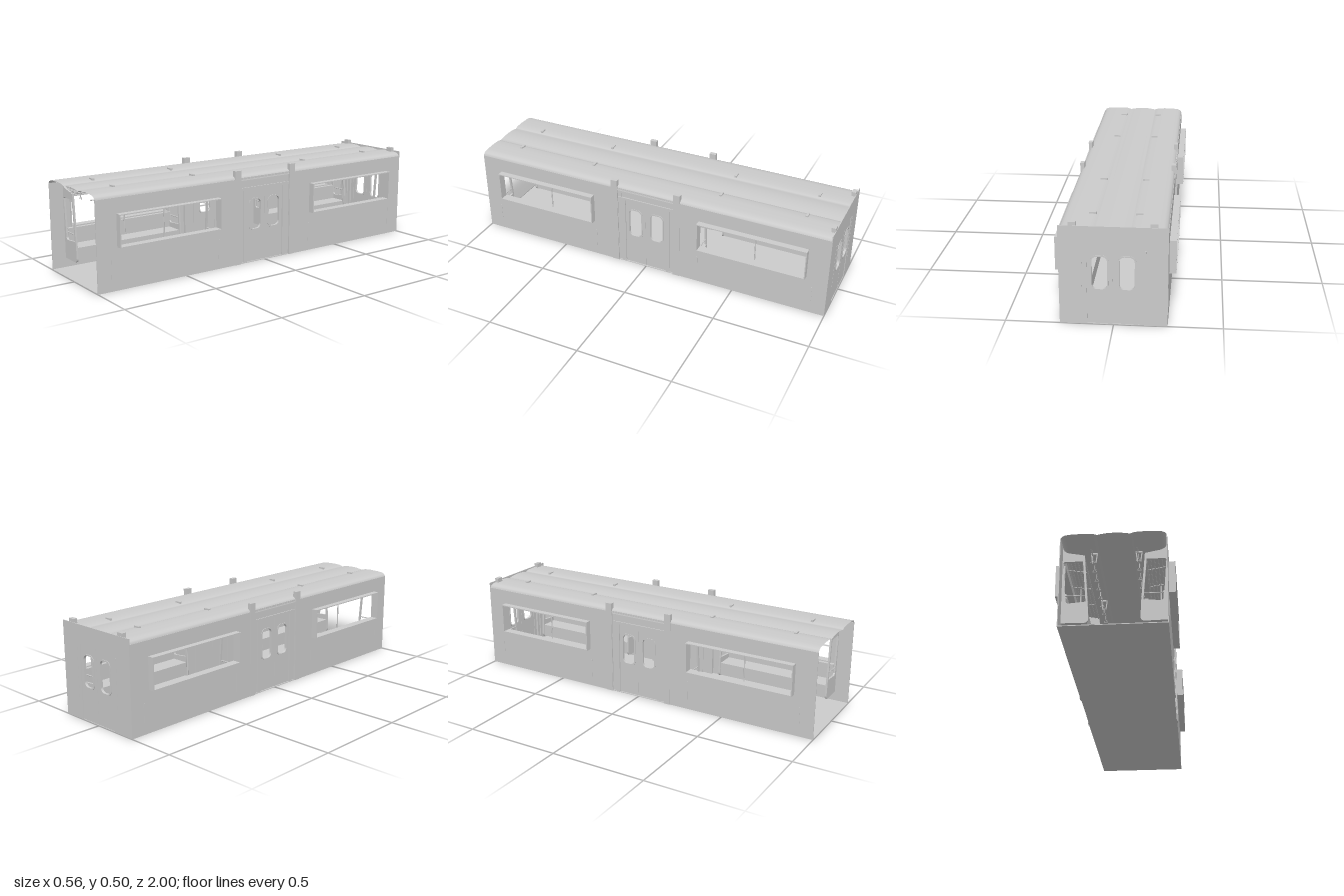
import * as THREE from 'three';

const mat = new THREE.MeshStandardMaterial({ color: 0xcccccc, side: THREE.DoubleSide });

function add(parent, name, geo, x = 0, y = 0, z = 0) {
  const m = new THREE.Mesh(geo, mat);
  m.name = name;
  m.position.set(x, y, z);
  parent.add(m);
  return m;
}

// box given by its min and max along each axis
function box(parent, name, x0, x1, y0, y1, z0, z1) {
  return add(parent, name, new THREE.BoxGeometry(x1 - x0, y1 - y0, z1 - z0),
    (x0 + x1) / 2, (y0 + y1) / 2, (z0 + z1) / 2);
}

function rod(parent, name, a, b, r = 0.003) {
  const path = new THREE.LineCurve3(new THREE.Vector3(...a), new THREE.Vector3(...b));
  return add(parent, name, new THREE.TubeGeometry(path, 1, r, 8));
}

function rect(C, x0, x1, y0, y1) {
  return new C([[x0, y0], [x1, y0], [x1, y1], [x0, y1]].map(p => new THREE.Vector2(...p)));
}

function roundRect(C, x0, x1, y0, y1, r) {
  const s = new C();
  s.absarc(x1 - r, y0 + r, r, -Math.PI / 2, 0);
  s.absarc(x1 - r, y1 - r, r, 0, Math.PI / 2);
  s.absarc(x0 + r, y1 - r, r, Math.PI / 2, Math.PI);
  s.absarc(x0 + r, y0 + r, r, Math.PI, Math.PI * 1.5);
  s.closePath();
  return s;
}

function plate(shape, depth) {
  return new THREE.ExtrudeGeometry(shape, { depth, bevelEnabled: false, curveSegments: 8 })
    .translate(0, 0, -depth / 2);
}

// pair of sliding door leaves in the xy plane, outside facing +z
function makeDoors(name) {
  const g = new THREE.Group();
  g.name = name;
  for (const s of [-1, 1]) {
    const x0 = s > 0 ? 0.002 : -0.118, x1 = s > 0 ? 0.118 : -0.002;
    const w0 = s > 0 ? 0.022 : -0.102, w1 = s > 0 ? 0.102 : -0.022;
    const leaf = rect(THREE.Shape, x0, x1, 0.003, 0.39);
    leaf.holes.push(roundRect(THREE.Path, w0, w1, 0.172, 0.342, 0.028));
    add(g, 'doorLeaf', plate(leaf, 0.008));
    const rim = roundRect(THREE.Shape, w0 - 0.002, w1 + 0.002, 0.17, 0.344, 0.03);
    rim.holes.push(roundRect(THREE.Path, w0 + 0.005, w1 - 0.005, 0.177, 0.337, 0.024));
    add(g, 'doorWindowRim', plate(rim, 0.013));
  }
  box(g, 'doorSeal', -0.002, 0.002, 0.003, 0.39, -0.003, 0.003);
  return g;
}

// body side with window and door openings
function makeSide() {
  const g = new THREE.Group();
  g.name = 'bodySide';
  const wall = new THREE.Shape([[-1, 0], [-0.16, 0], [-0.16, 0.455], [0.16, 0.455], [0.16, 0],
    [1, 0], [1, 0.455], [-1, 0.455]].map(p => new THREE.Vector2(...p)));
  for (const s of [-1, 1]) {
    const a = s * 0.885, b = s * 0.31;
    wall.holes.push(rect(THREE.Path, Math.min(a, b), Math.max(a, b), 0.22, 0.373));
  }
  add(g, 'sideWall', plate(wall, 0.004).rotateY(Math.PI / 2), 0.245);

  const doors = makeDoors('sideDoors');
  doors.rotation.y = Math.PI / 2;
  doors.position.x = 0.234;
  g.add(doors);
  box(g, 'doorLintel', 0.225, 0.244, 0.39, 0.405, -0.16, 0.16);
  box(g, 'doorHeader', 0.23, 0.238, 0.405, 0.46, -0.16, 0.16);
  box(g, 'doorHeaderRail', 0.238, 0.246, 0.45, 0.46, -0.16, 0.16);

  for (const s of [-1, 1]) {
    const end = new THREE.Group();
    end.name = 'sideHalf';
    end.scale.z = s;
    g.add(end);
    box(end, 'doorPost', 0.228, 0.25, 0, 0.5, 0.162, 0.198);
    box(end, 'doorJamb', 0.225, 0.244, 0, 0.4, 0.118, 0.14);
    box(end, 'doorJambOuter', 0.229, 0.24, 0, 0.455, 0.14, 0.163);

    // projecting window box
    const frame = rect(THREE.Shape, -0.89, -0.304, 0.215, 0.378);
    frame.holes.push(rect(THREE.Path, -0.885, -0.31, 0.22, 0.373));
    add(end, 'windowBox', plate(frame, 0.045).rotateY(Math.PI / 2), 0.2575);
    rod(end, 'windowPole', [0.2, 0.15, 0.6], [0.2, 0.43, 0.6], 0.0035);

    // bench
    box(end, 'benchSeat', 0.125, 0.242, 0.06, 0.13, 0.3, 0.915);
    box(end, 'benchBack', 0.222, 0.242, 0.13, 0.212, 0.3, 0.915);

    // seat-end partitions
    for (const z of [0.3, 0.92]) {
      const p = new THREE.Shape();
      p.moveTo(0.2485, 0.055);
      p.lineTo(0.14, 0.053);
      p.quadraticCurveTo(0.118, 0.053, 0.118, 0.075);
      p.lineTo(0.122, 0.16);
      p.lineTo(0.14, 0.408);
      p.lineTo(0.2, 0.42);
      p.quadraticCurveTo(0.24, 0.425, 0.2435, 0.455);
      p.lineTo(0.2435, 0.155);
      p.lineTo(0.2485, 0.155);
      p.holes.push(new THREE.Path([[0.132, 0.162], [0.215, 0.155], [0.225, 0.165], [0.239, 0.37],
        [0.234, 0.376], [0.148, 0.376]].map(q => new THREE.Vector2(...q))));
      add(end, 'seatPartition', plate(p, 0.01), 0, 0, z);
      rod(end, 'partitionRail', [0.13, 0.197, z], [0.226, 0.197, z]);
    }

    // luggage rack
    for (let i = 0; i < 6; i++) {
      const x = 0.145 + i * 0.018, y = 0.408 + i * 0.003;
      rod(end, 'rackBar', [x, y, 0.3], [x, y, 0.92], i ? 0.0025 : 0.004);
    }
    for (const z of [0.45, 0.61, 0.77]) rod(end, 'rackBracket', [0.145, 0.408, z], [0.243, 0.425, z]);

    // strap rail with hangers
    rod(end, 'strapRail', [0.107, 0.424, 0.22], [0.107, 0.424, 0.95]);
    for (const z of [0.37, 0.83]) {
      box(end, 'hangerFoot', 0.09, 0.124, 0.468, 0.484, z - 0.006, z + 0.006);
      for (const k of [-1, 1])
        rod(end, 'hangerArm', [0.107 + k * 0.014, 0.472, z], [0.107 + k * 0.008, 0.424, z]);
    }
    for (let i = 0; i < 8; i++) {
      const z = 0.3 + i * 0.085;
      rod(end, 'strap', [0.107, 0.424, z], [0.107, 0.402, z], 0.002);
      const ring = new THREE.TorusGeometry(0.011, 0.002, 6, 3).rotateZ(Math.PI / 2);
      add(end, 'strapHandle', ring, 0.107, 0.391, z);
    }
  }
  return g;
}

// roof skin lofted from one cross-section
function makeRoof() {
  const half = [[0.247, 0.445], [0.2445, 0.458], [0.237, 0.467], [0.224, 0.473], [0.2, 0.476],
    [0.14, 0.478], [0.1, 0.476], [0.082, 0.471], [0.078, 0.468], [0.06, 0.472], [0.03, 0.476]];
  const pts = [...half, [0, 0.477], ...half.map(([x, y]) => [-x, y]).reverse()];
  const geo = new THREE.PlaneGeometry(1, 1, pts.length - 1, 1);
  const pos = geo.attributes.position;
  for (let i = 0; i < pos.count; i++) {
    const [x, y] = pts[i % pts.length];
    pos.setXYZ(i, -x, y, i < pts.length ? -1 : 1);
  }
  geo.computeVertexNormals();
  return geo;
}

export function createModel() {
  const car = new THREE.Group();
  car.name = 'railCarriage';
  box(car, 'floor', -0.245, 0.245, 0, 0.004, -1, 1);
  add(car, 'roof', makeRoof());

  const right = makeSide();
  const left = makeSide();
  left.scale.x = -1;
  car.add(right, left);

  // closed end with doors
  const endWall = new THREE.Shape([[-0.247, 0], [-0.12, 0], [-0.12, 0.388], [0.12, 0.388], [0.12, 0],
    [0.247, 0], [0.247, 0.483], [-0.247, 0.483]].map(p => new THREE.Vector2(...p)));
  add(car, 'endWall', plate(endWall, 0.004), 0, 0, -0.998);
  const doors = makeDoors('endDoors');
  doors.position.z = -0.993;
  car.add(doors);
  box(car, 'endLintel', -0.142, 0.142, 0.385, 0.402, -0.997, -0.972);
  box(car, 'endHeader', -0.13, 0.13, 0.404, 0.42, -0.997, -0.985);
  box(car, 'endCeilingPanel', -0.165, 0.165, 0.422, 0.456, -0.997, -0.988);
  for (const s of [-1, 1]) {
    const column = box(car, 'endColumn', -0.0175, 0.0175, 0, 0.5, -0.998, -0.976);
    column.position.x = s * 0.182;
    const jamb = box(car, 'endJamb', -0.009, 0.009, 0, 0.39, -0.997, -0.975);
    jamb.position.x = s * 0.146;
    const trim = box(car, 'endJambInner', -0.01, 0.01, 0, 0.39, -0.997, -0.986);
    trim.position.x = s * 0.128;
    const bar = box(car, 'endHandrail', -0.004, 0.004, 0.11, 0.37, -1.001, -0.996);
    bar.position.x = s * 0.146;
  }
  return car;
}
